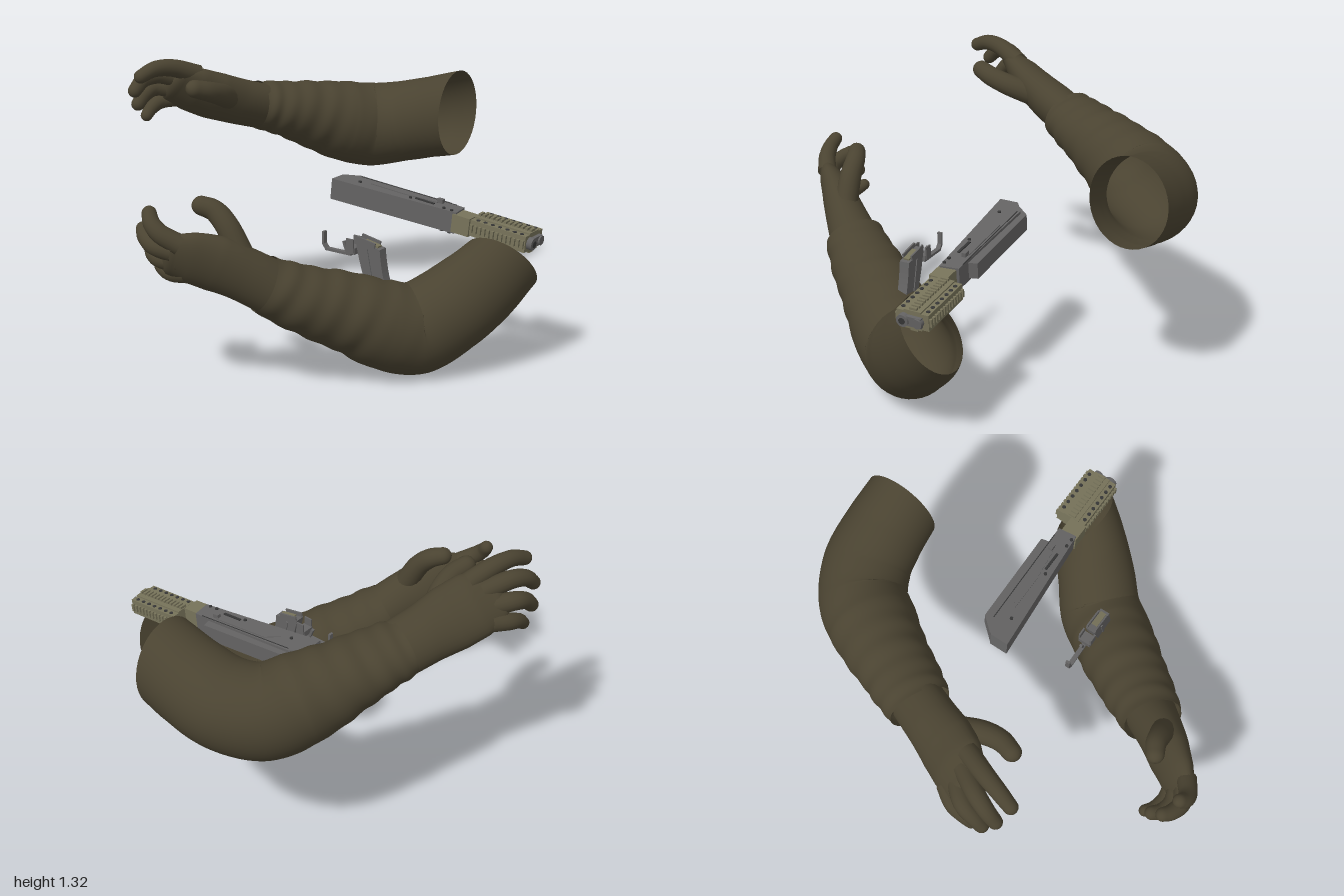
import * as THREE from 'three';

const mat = (name, color, side = THREE.FrontSide) => {
  const m = new THREE.MeshStandardMaterial({ color, side });
  m.name = name;
  return m;
};
const V = (a) => new THREE.Vector3(a[0], a[1], a[2]);

// Loft of elliptical rings along rows of [x, y, z, radius along hint, radius across]
function loft(rows, { hint, steps = 40, sides = 28, cap = false, startDir = null, folds = 0 }) {
  const curve = new THREE.CatmullRomCurve3(rows.map(V), false, 'centripetal');
  const pos = [], idx = [], up = V(hint);
  let rings = 0;
  const ring = (c, t, ra, rb, fold) => {
    const w = up.clone().addScaledVector(t, -up.dot(t)).normalize();
    const b = t.clone().cross(w);
    for (let j = 0; j < sides; j++) {
      const a = (j / sides) * Math.PI * 2, k = 1 + fold(a);
      const p = c.clone().addScaledVector(w, Math.cos(a) * ra * k).addScaledVector(b, Math.sin(a) * rb * k);
      pos.push(p.x, p.y, p.z);
    }
    rings++;
  };
  const none = () => 0;
  let c, t, ra, rb;
  for (let i = 0; i <= steps; i++) {
    const u = i / steps, f = u * (rows.length - 1);
    const n = Math.min(Math.floor(f), rows.length - 2), k = f - n;
    c = curve.getPoint(u);
    t = curve.getTangent(u);
    if (startDir) t.lerp(V(startDir), Math.max(0, 1 - u * 4.5)).normalize();
    ra = THREE.MathUtils.lerp(rows[n][3], rows[n + 1][3], k);
    rb = THREE.MathUtils.lerp(rows[n][4], rows[n + 1][4], k);
    // Cloth folds grow from the elbow towards the cuff
    const s = folds * THREE.MathUtils.smoothstep(u, 0.3, 0.8);
    ring(c, t, ra, rb, (a) => s * (Math.sin(u * 62 + 1.6 * Math.sin(a + 1)) + 0.6 * Math.sin(u * 37 + 2 * a)));
  }
  if (cap) {
    const r = Math.min(ra, rb);
    for (let i = 1; i <= 5; i++) {
      const a = (i / 5) * Math.PI / 2, k = Math.max(Math.cos(a), 0.01);
      ring(c.clone().addScaledVector(t, Math.sin(a) * r), t, ra * k, rb * k, none);
    }
  }
  for (let i = 0; i < rings - 1; i++) for (let j = 0; j < sides; j++) {
    const a = i * sides + j, b = i * sides + (j + 1) % sides;
    idx.push(a, b, a + sides, b, b + sides, a + sides);
  }
  const g = new THREE.BufferGeometry();
  g.setAttribute('position', new THREE.Float32BufferAttribute(pos, 3));
  g.setIndex(idx);
  g.computeVertexNormals();
  return g;
}

export function createModel() {
  const root = new THREE.Group();
  const cloth = mat('olive cloth', 0x4a4331, THREE.DoubleSide);
  const steel = mat('grey steel', 0x646363);
  const dark = mat('dark steel', 0x363636);
  const olive = mat('olive guard', 0x77735a);
  const add = (parent, name, geo, m, p = [0, 0, 0], r = [0, 0, 0]) => {
    const o = new THREE.Mesh(geo, m);
    o.name = name;
    o.position.set(...p);
    o.rotation.set(...r);
    parent.add(o);
    return o;
  };
  const box = (parent, name, m, size, p, r) => add(parent, name, new THREE.BoxGeometry(...size), m, p, r);

  // Arms: sleeve, hand and five digits
  const arm = (name, d) => {
    const g = new THREE.Group();
    g.name = name;
    root.add(g);
    add(g, 'sleeve', loft(d.sleeve, { hint: [0, 1, 0], steps: 100, sides: 40, startDir: d.open, folds: 0.017 }), cloth);
    add(g, 'hand', loft(d.hand, { hint: d.hint, steps: 30, cap: true }), cloth);
    d.digits.forEach((pts, i) => {
      const rows = pts.map((p, k) => {
        const r = (i === 0 ? 0.056 : i === 4 ? 0.042 : 0.046) - 0.014 * k / (pts.length - 1);
        return [...p, r, r];
      });
      add(g, i ? 'finger' : 'thumb', loft(rows, { hint: d.hint, steps: 16, sides: 16, cap: true }), cloth);
    });
  };
  arm('rightArm', {
    open: [-1, 0, 0],
    sleeve: [
      [0.15, 0.99, -0.82, 0.21, 0.18], [0, 0.95, -0.82, 0.2, 0.19], [-0.16, 0.91, -0.8, 0.2, 0.2],
      [-0.3, 0.89, -0.72, 0.21, 0.2], [-0.38, 0.92, -0.6, 0.2, 0.2], [-0.45, 0.96, -0.48, 0.175, 0.18],
      [-0.51, 1, -0.36, 0.145, 0.165], [-0.56, 1.03, -0.26, 0.125, 0.155], [-0.6, 1.05, -0.18, 0.115, 0.14]],
    hint: [0.77, 0.62, 0.1],
    hand: [
      [-0.58, 1.035, -0.22, 0.125, 0.1], [-0.64, 1.08, -0.08, 0.13, 0.1], [-0.69, 1.12, 0.03, 0.145, 0.09],
      [-0.74, 1.16, 0.12, 0.145, 0.075], [-0.78, 1.19, 0.19, 0.125, 0.05]],
    digits: [
      [[-0.61, 1.12, 0.02], [-0.57, 1.16, 0.13], [-0.565, 1.19, 0.22], [-0.585, 1.21, 0.285]],
      [[-0.69, 1.24, 0.14], [-0.74, 1.285, 0.26], [-0.77, 1.29, 0.35], [-0.79, 1.265, 0.42]],
      [[-0.75, 1.21, 0.16], [-0.82, 1.245, 0.27], [-0.85, 1.23, 0.34], [-0.86, 1.185, 0.39]],
      [[-0.8, 1.16, 0.16], [-0.87, 1.175, 0.24], [-0.885, 1.15, 0.3], [-0.89, 1.11, 0.34]],
      [[-0.83, 1.11, 0.12], [-0.88, 1.1, 0.19], [-0.89, 1.075, 0.25], [-0.89, 1.045, 0.285]]],
  });
  arm('leftArm', {
    open: [0, -0.62, 0.78],
    sleeve: [
      [0.76, 0.5, -0.215, 0.185, 0.17], [0.69, 0.4, -0.13, 0.195, 0.18], [0.6, 0.3, -0.03, 0.2, 0.19],
      [0.49, 0.22, 0.07, 0.21, 0.2], [0.4, 0.255, 0.19, 0.2, 0.2], [0.31, 0.32, 0.3, 0.18, 0.19],
      [0.22, 0.38, 0.42, 0.16, 0.175], [0.14, 0.44, 0.53, 0.14, 0.16], [0.07, 0.5, 0.62, 0.125, 0.14]],
    hint: [0, 0.87, 0.4],
    hand: [
      [0.09, 0.485, 0.6, 0.12, 0.12], [0.01, 0.56, 0.7, 0.125, 0.1], [-0.06, 0.61, 0.78, 0.135, 0.085],
      [-0.13, 0.645, 0.86, 0.125, 0.065], [-0.18, 0.66, 0.91, 0.105, 0.045]],
    digits: [
      [[0.01, 0.65, 0.7], [-0.05, 0.76, 0.71], [-0.11, 0.82, 0.72], [-0.16, 0.84, 0.745]],
      [[-0.14, 0.71, 0.91], [-0.21, 0.76, 0.955], [-0.25, 0.8, 0.96], [-0.275, 0.835, 0.945]],
      [[-0.17, 0.68, 0.92], [-0.25, 0.7, 0.95], [-0.31, 0.725, 0.935], [-0.345, 0.745, 0.91]],
      [[-0.16, 0.63, 0.89], [-0.25, 0.63, 0.91], [-0.31, 0.64, 0.89], [-0.345, 0.66, 0.86]],
      [[-0.15, 0.57, 0.86], [-0.23, 0.56, 0.87], [-0.3, 0.57, 0.85], [-0.335, 0.59, 0.825]]],
  });

  // Upper frame lying on its side: x runs along it, -z is its top edge
  const frame = new THREE.Group();
  frame.name = 'upperFrame';
  frame.position.set(0.41, 0.683, -0.2);
  frame.rotation.z = -0.1;
  root.add(frame);
  const plate = (name, pts, thick, m, y = 0) => {
    const shape = new THREE.Shape(pts.map(([x, z]) => new THREE.Vector2(x, -z)));
    const g = new THREE.ExtrudeGeometry(shape, { depth: thick, bevelEnabled: false });
    g.translate(0, 0, -thick / 2).rotateX(-Math.PI / 2);
    return add(frame, name, g, m, [0, y, 0]);
  };
  plate('receiver', [[-0.5, 0.11], [-0.5, 0.02], [-0.43, -0.03], [0.14, -0.03], [0.15, 0.06], [-0.05, 0.075]], 0.1, steel);
  plate('topCover', [[-0.5, 0.02], [-0.43, -0.06], [0.05, -0.07], [0.06, -0.03], [-0.2, -0.02]], 0.075, steel);
  plate('sidePanel', [[-0.33, 0.035], [-0.27, -0.01], [0.02, -0.015], [0.02, 0.015], [-0.15, 0.035]], 0.108, steel);
  plate('coverSeam', [[-0.42, -0.02], [0.1, -0.03], [0.1, -0.026], [-0.42, -0.016]], 0.104, dark);
  for (const s of [-1, 1]) {
    box(frame, 'slot', dark, [0.1, 0.006, 0.012], [-0.03, s * 0.052, 0.04]);
    for (const x of [-0.38, -0.1, 0.08, 0.12])
      add(frame, 'rivet', new THREE.CylinderGeometry(0.008, 0.008, 0.008, 10), dark, [x, s * 0.052, 0.052]);
  }
  box(frame, 'chargingHandle', steel, [0.03, 0.03, 0.02], [0.03, 0.055, 0]);

  // Hand guard with ribbed rails on four sides and vent holes
  box(frame, 'frontBlock', olive, [0.09, 0.085, 0.085], [0.18, 0, 0.025]);
  box(frame, 'guardCore', olive, [0.28, 0.075, 0.15], [0.365, 0, -0.018]);
  box(frame, 'guardSpine', olive, [0.28, 0.088, 0.08], [0.365, 0, -0.018]);
  for (let i = 0; i < 13; i++) {
    const x = 0.236 + i * 0.0215;
    for (const s of [-1, 1]) {
      box(frame, 'sideRib', olive, [0.012, 0.012, 0.036], [x, s * 0.049, -0.018]);
      box(frame, 'edgeRib', olive, [0.012, 0.036, 0.012], [x, 0, -0.018 + s * 0.08]);
    }
  }
  for (let i = 0; i < 7; i++) for (const s of [-1, 1]) for (const z of [-0.077, 0.041])
    add(frame, 'vent', new THREE.CylinderGeometry(0.009, 0.009, 0.004, 12), dark, [0.255 + i * 0.037, s * 0.0385, z]);

  // Gas block and muzzle
  const rod = (name, r, len, m, x, z) =>
    add(frame, name, new THREE.CylinderGeometry(r, r, len, 16), m, [x, 0, z], [0, 0, Math.PI / 2]);
  rod('barrel', 0.028, 0.05, steel, 0.505, 0.02);
  rod('bore', 0.015, 0.004, dark, 0.531, 0.02);
  rod('gasTube', 0.022, 0.04, steel, 0.51, -0.05);
  box(frame, 'gasBlock', steel, [0.018, 0.045, 0.1], [0.513, 0, -0.015]);

  // Curved magazine with its catch and guard hook
  const lower = new THREE.Group();
  lower.name = 'magazineGroup';
  lower.position.z = 0.155;
  root.add(lower);
  const mag = new THREE.Shape();
  mag.moveTo(0.24, 0.615);
  mag.lineTo(0.37, 0.59);
  mag.quadraticCurveTo(0.38, 0.48, 0.41, 0.4);
  mag.lineTo(0.32, 0.36);
  mag.quadraticCurveTo(0.27, 0.47, 0.24, 0.615);
  const magGeo = (w) => new THREE.ExtrudeGeometry(mag, { depth: w, bevelEnabled: false, curveSegments: 8 }).translate(0, 0, -w / 2);
  add(lower, 'magazine', magGeo(0.048), steel);
  for (const s of [-1, 1]) {
    box(lower, 'magazineRib', steel, [0.012, 0.15, 0.006], [0.315, 0.51, s * 0.026], [0, 0, 0.2]);
    box(lower, 'feedLip', steel, [0.1, 0.025, 0.008], [0.295, 0.612, s * 0.022], [0, 0, -0.19]);
    box(lower, 'catchPlate', steel, [0.04, 0.06, 0.008], [0.215, 0.585, s * 0.03]);
  }
  box(lower, 'follower', olive, [0.08, 0.008, 0.03], [0.315, 0.605, 0], [0, 0, -0.19]);
  box(lower, 'catch', steel, [0.05, 0.03, 0.06], [0.215, 0.56, 0]);
  box(lower, 'guardBar', steel, [0.14, 0.012, 0.022], [0.135, 0.535, 0]);
  box(lower, 'guardCorner', steel, [0.035, 0.012, 0.022], [0.062, 0.546, 0], [0, 0, -0.9]);
  box(lower, 'guardHook', steel, [0.012, 0.06, 0.022], [0.053, 0.585, 0]);
  box(lower, 'trigger', steel, [0.012, 0.05, 0.014], [0.17, 0.565, 0], [0, 0, 0.35]);

  return root;
}
